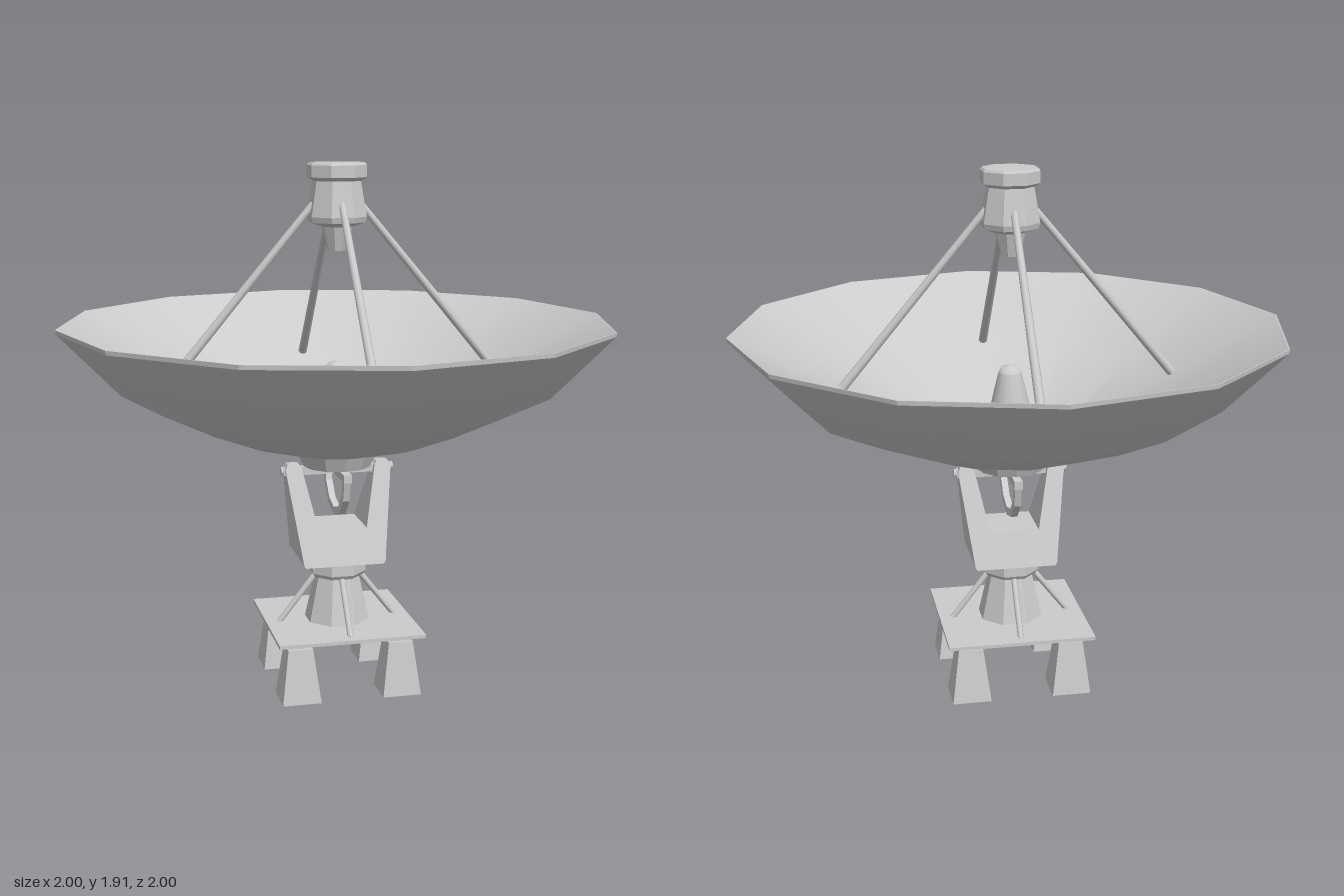
import * as THREE from 'three';

const flat = new THREE.MeshStandardMaterial({ color: 0xcccccc, flatShading: true });
const smooth = new THREE.MeshStandardMaterial({ color: 0xcccccc });

export function createModel() {
  const model = new THREE.Group();

  const add = (name, geometry, material = flat, parent = model) => {
    const mesh = new THREE.Mesh(geometry, material);
    mesh.name = name;
    parent.add(mesh);
    return mesh;
  };

  // Turned part; outward faces come from profiles that run bottom to top.
  const turned = (name, profile, sides, material = flat, turn = 0, parent = model) =>
    add(name, new THREE.LatheGeometry(profile.map(([r, y]) => new THREE.Vector2(r, y)), sides, turn),
      material, parent);

  // Octagonal part with a flat face to the front; radii are across the flats.
  const octagon = (name, profile) => turned(name,
    profile.map(([r, y]) => [r / Math.cos(Math.PI / 8), y]), 8, flat, Math.PI / 8);

  // Round rod between two points.
  const rod = (name, from, to, r0, r1) => {
    const a = new THREE.Vector3(...from), b = new THREE.Vector3(...to);
    const dir = b.clone().sub(a);
    const mesh = add(name, new THREE.CylinderGeometry(r1, r0, dir.length(), 8), smooth);
    mesh.position.copy(a).add(b).multiplyScalar(0.5);
    mesh.quaternion.setFromUnitVectors(new THREE.Vector3(0, 1, 0), dir.normalize());
  };

  // Square tapered block.
  const frustum = (name, bottom, top, y0, y1, x, z) => {
    const g = new THREE.CylinderGeometry(top * Math.SQRT2, bottom * Math.SQRT2, y1 - y0, 4);
    g.rotateY(Math.PI / 4);
    add(name, g).position.set(x, (y0 + y1) / 2, z);
  };

  // Dish: curved outer shell, thin rim band and straight conical reflector
  const dish = new THREE.Group();
  dish.name = 'dish';
  model.add(dish);
  const outer = [[0, 0.865], [0.145, 0.871], [0.355, 0.924], [0.57, 1.008], [0.778, 1.107], [0.998, 1.335]];
  turned('dishShell', outer, 12, smooth, 0, dish);
  turned('dishRim', [[0.998, 1.335], [1, 1.35], [0.996, 1.35]], 12, flat, 0, dish);
  turned('dishReflector', [[0.996, 1.35], [0.58, 1.126], [0.165, 0.902]], 12, smooth, 0, dish);
  turned('dishFloor', [[0.165, 0.902], [0, 0.902]], 12, flat, 0, dish);

  // Feed horn in the middle of the dish
  turned('feedHorn', [[0.083, 0.9], [0.083, 1.01], [0.042, 1.18]], 16, smooth);
  turned('feedHornTip', [[0.042, 1.18], [0.03, 1.2], [0, 1.207]], 16, smooth);

  // Receiver head above the dish
  octagon('receiverNozzle', [[0, 1.605], [0.03, 1.605], [0.055, 1.7]]);
  octagon('receiverBody', [[0.055, 1.69], [0.095, 1.705], [0.1, 1.725], [0.08, 1.85]]);
  octagon('receiverCap', [[0.08, 1.85], [0.1, 1.863], [0.1, 1.905], [0.094, 1.914], [0, 1.914]]);

  // Four receiver struts and four pedestal braces
  for (let i = 0; i < 4; i++) {
    const c = Math.round(Math.cos(i * Math.PI / 2)), s = Math.round(Math.sin(i * Math.PI / 2));
    rod('receiverStrut', [0.605 * c, 1.15, 0.605 * s], [0.085 * c, 1.77, 0.085 * s], 0.017, 0.013);
    rod('pedestalBrace', [0.22 * c, 0.23, 0.22 * s], [0.08 * c, 0.41, 0.08 * s], 0.011, 0.011);
  }

  // Hub under the dish with crossed support bars
  turned('dishHub', [[0, 0.82], [0.125, 0.82], [0.15, 0.875]], 12);
  add('crossBar', new THREE.BoxGeometry(0.4, 0.03, 0.03)).position.y = 0.805;
  add('crossBar', new THREE.BoxGeometry(0.03, 0.03, 0.35)).position.y = 0.805;

  // Half-round elevation arc in the fore-and-aft plane
  const arc = new THREE.Shape();
  for (let i = 0; i <= 6; i++) {
    const a = Math.PI + i * Math.PI / 6;
    arc[i ? 'lineTo' : 'moveTo'](0.175 * Math.cos(a), 0.175 * Math.sin(a));
  }
  for (let i = 6; i >= 0; i--) {
    const a = Math.PI + i * Math.PI / 6;
    arc.lineTo(0.145 * Math.cos(a), 0.145 * Math.sin(a));
  }
  const arcGeo = new THREE.ExtrudeGeometry(arc, { depth: 0.024, bevelEnabled: false });
  arcGeo.translate(0, 0, -0.012).rotateY(Math.PI / 2);
  add('elevationArc', arcGeo).position.y = 0.805;

  // Tilt axle through the yoke tops
  rod('tiltAxle', [-0.21, 0.805, 0], [0.21, 0.805, 0], 0.016, 0.016);

  // Yoke: U outline, narrowing front to back with height
  const half = [[0.145, 0.472], [0.152, 0.482], [0.197, 0.815], [0.188, 0.832], [0.145, 0.832], [0.137, 0.82], [0.09, 0.6]];
  const outline = [...half, ...half.map(([x, y]) => [-x, y]).reverse()];
  const yoke = new THREE.ExtrudeGeometry(
    new THREE.Shape(outline.map(([x, y]) => new THREE.Vector2(x, y))), { depth: 2, bevelEnabled: false });
  yoke.translate(0, 0, -1);
  const p = yoke.attributes.position;
  for (let i = 0; i < p.count; i++) {
    const t = (p.getY(i) - 0.472) / (0.832 - 0.472);
    p.setZ(i, p.getZ(i) * THREE.MathUtils.lerp(0.14, 0.022, t));
  }
  yoke.computeVertexNormals();
  add('yoke', yoke);

  // Turntable and pedestal
  octagon('turntable', [[0.07, 0.4], [0.09, 0.405], [0.1, 0.42], [0.1, 0.465], [0.09, 0.475]]);
  octagon('pedestal', [[0.113, 0.23], [0.076, 0.405]]);

  // Platform on four tapered feet
  add('platform', new THREE.BoxGeometry(0.54, 0.013, 0.54)).position.y = 0.227;
  for (const x of [-0.186, 0.186]) {
    for (const z of [-0.186, 0.186]) {
      frustum('foot', 0.071, 0.045, 0, 0.198, x, z);
      frustum('footCap', 0.032, 0.028, 0.198, 0.222, x, z);
    }
  }
  return model;
}
